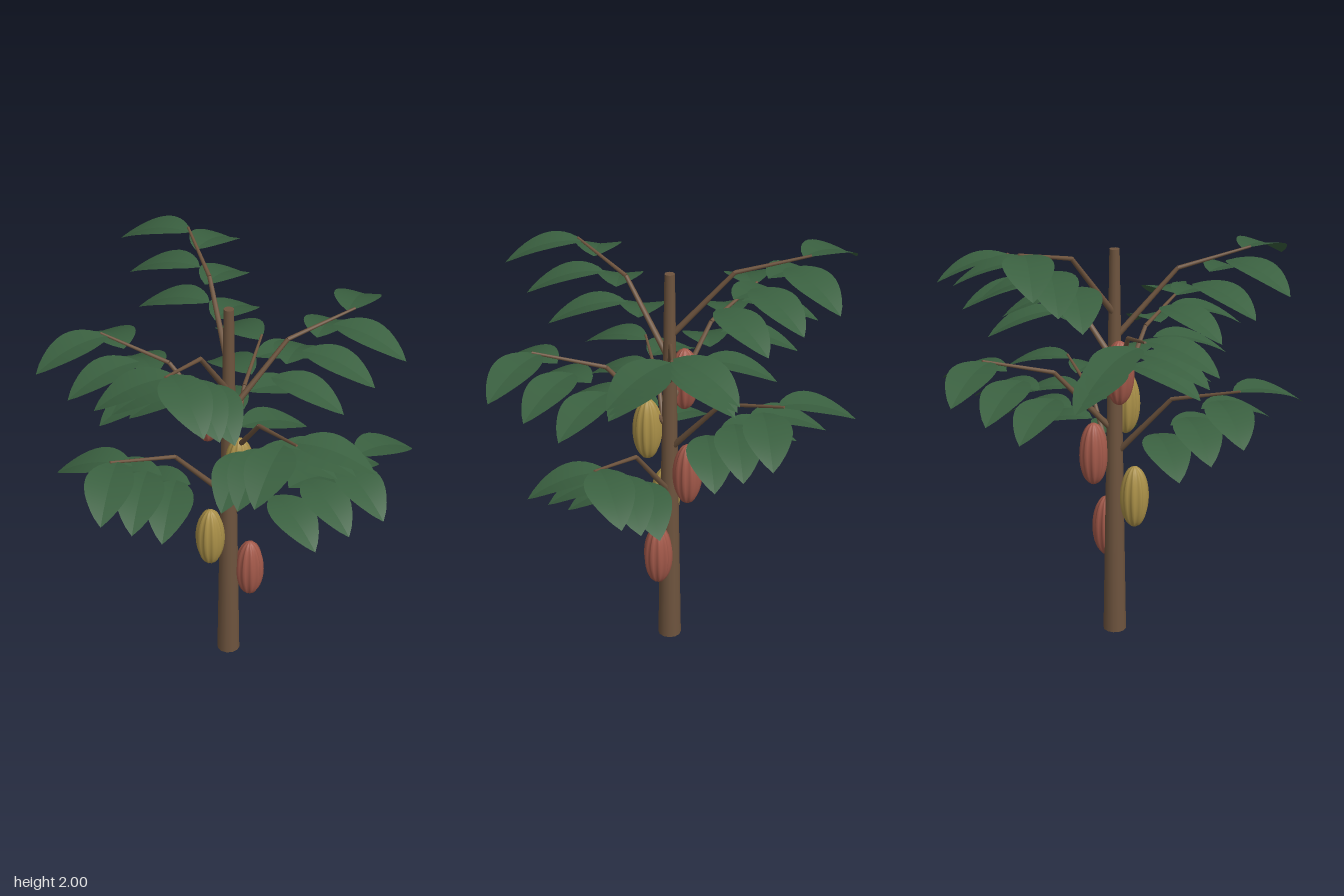
import * as THREE from 'three';

const CX = 0.015, CZ = -0.01;              // trunk axis
const GOLDEN = THREE.MathUtils.degToRad(137.5);

// Point at a given angle, distance from the trunk axis and height
const polar = (a, r, y) => new THREE.Vector3(CX + Math.cos(a) * r, y, CZ + Math.sin(a) * r);

// Tapered round rod between two points
function rod(a, b, ra, rb, material, name) {
  const d = b.clone().sub(a);
  const mesh = new THREE.Mesh(new THREE.CylinderGeometry(rb, ra, d.length(), 8), material);
  mesh.position.copy(a).add(b).multiplyScalar(0.5);
  mesh.quaternion.setFromUnitVectors(new THREE.Vector3(0, 1, 0), d.normalize());
  mesh.name = name;
  return mesh;
}

// Drooping leaf along +x, two halves folded up from the midrib
function leafGeometry(length = 0.36, halfWidth = 0.107) {
  const pos = [], index = [], n = 12;
  for (const side of [-1, 1]) {
    const start = pos.length / 3;
    for (let i = 0; i <= n; i++) {
      const t = i / n;
      const w = halfWidth * Math.pow(Math.sin(Math.PI * Math.pow(t, 0.92)), 0.8);
      const y = 0.05 * t - 0.15 * t * t;
      pos.push(t * length, y, 0, t * length, y + w * 0.13, side * w);
      if (i === n) continue;
      const a = start + i * 2;
      if (side > 0) index.push(a, a + 1, a + 2, a + 1, a + 3, a + 2);
      else index.push(a, a + 2, a + 1, a + 1, a + 2, a + 3);
    }
  }
  const g = new THREE.BufferGeometry();
  g.setAttribute('position', new THREE.Float32BufferAttribute(pos, 3));
  g.setIndex(index);
  g.computeVertexNormals();
  return g;
}

// Ellipsoid pod with ten lengthwise ridges
function podGeometry() {
  const g = new THREE.SphereGeometry(1, 40, 18);
  const p = g.attributes.position;
  for (let i = 0; i < p.count; i++) {
    const a = Math.atan2(p.getZ(i), p.getX(i));
    const r = 0.069 * (1 - 0.17 * Math.abs(Math.sin(5 * a)));
    p.setXYZ(i, p.getX(i) * r, p.getY(i) * 0.152, p.getZ(i) * r);
  }
  g.computeVertexNormals();
  return g;
}

export function createModel() {
  const tree = new THREE.Group();
  tree.name = 'podTree';
  const make = (name, color) => {
    const m = new THREE.MeshStandardMaterial({ color });
    m.name = name;
    return m;
  };
  const bark = make('bark', 0x6e543e);
  const green = make('leafGreen', 0x3a6040);
  green.side = THREE.DoubleSide;
  const red = make('podRed', 0xa3594a);
  const yellow = make('podYellow', 0xaa9048);

  // Trunk
  const trunk = new THREE.Mesh(new THREE.CylinderGeometry(0.023, 0.055, 1.89, 12), bark);
  trunk.position.set(CX, 0.945, CZ);
  trunk.name = 'trunk';
  tree.add(trunk);

  // Eight bent branches spiralling up, each with six alternating leaves
  const leafGeo = leafGeometry();
  for (let b = 0; b < 8; b++) {
    const a = b * GOLDEN, lift = b * 0.1136;
    const branch = new THREE.Group();
    branch.name = 'branch' + (b + 1);
    const root = polar(a, 0, 0.79 + lift);
    const elbow = polar(a, 0.285, 1.11 + lift);
    const end = polar(a, 0.615, 1.198 + lift);
    branch.add(rod(root, elbow, 0.015, 0.01, bark, 'lowerBranch'));
    branch.add(rod(elbow, end, 0.01, 0.006, bark, 'upperBranch'));
    for (let i = 0; i < 6; i++) {
      const side = i % 2 ? 1 : -1;
      const leaf = new THREE.Mesh(leafGeo, green);
      leaf.position.copy(polar(a, 0.578 - 0.0745 * i, 1.19 - 0.052 * i + lift));
      leaf.rotation.y = -(a + side * 0.845);
      leaf.name = 'leaf';
      branch.add(leaf);
    }
    tree.add(branch);
  }

  // Pods growing from the trunk
  const podGeo = podGeometry();
  for (let k = 0; k < 5; k++) {
    const a = k * GOLDEN;
    const pod = new THREE.Mesh(podGeo, k % 2 ? yellow : red);
    pod.position.copy(polar(a, 0.102, 0.5 + k * 0.21));
    pod.rotation.y = -a;
    pod.name = 'pod';
    tree.add(pod);
  }
  return tree;
}
